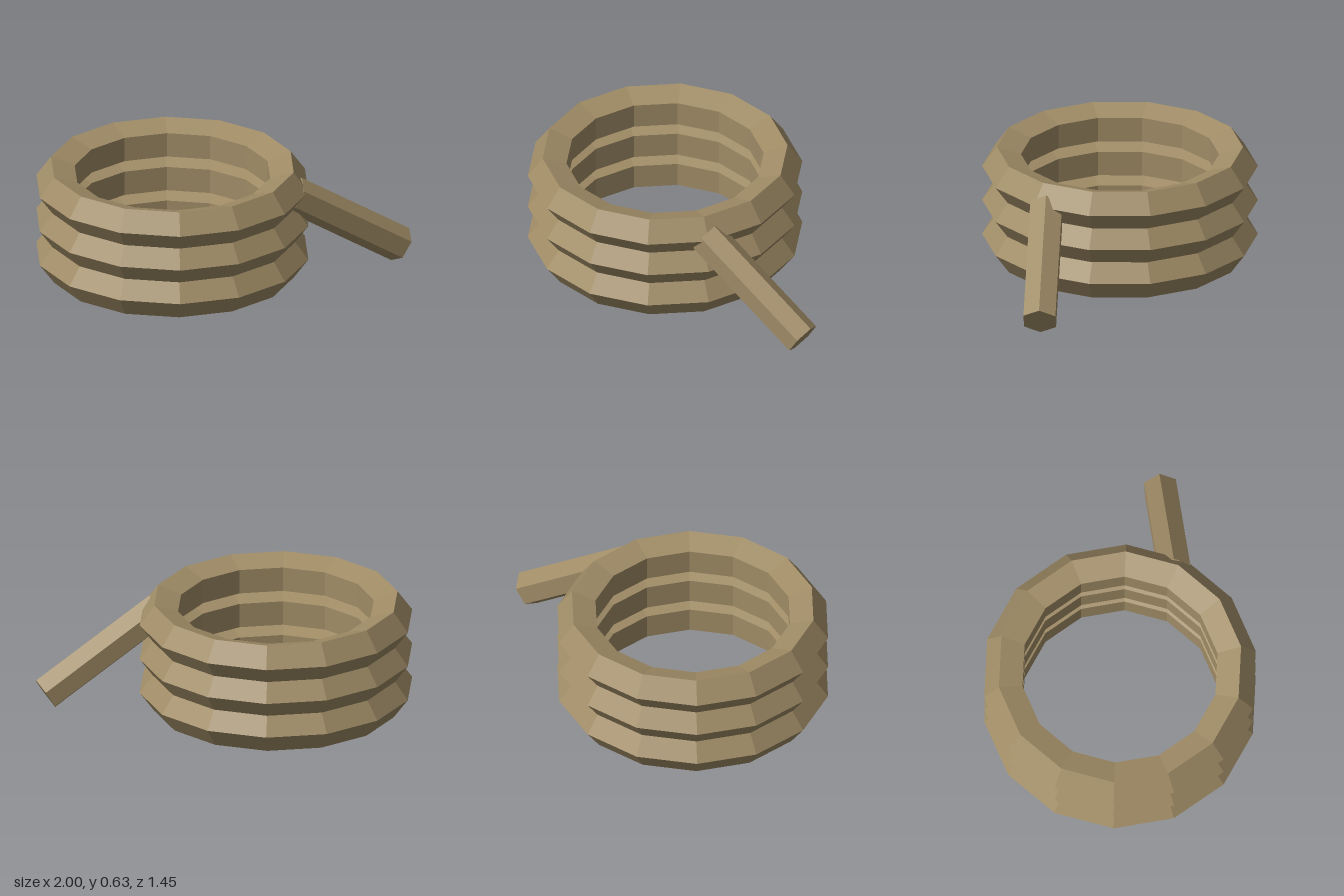
import * as THREE from 'three';

export function createModel() {
  const model = new THREE.Group();
  model.name = 'ropeCoil';
  const rope = new THREE.MeshStandardMaterial({ color: 0xa08c66, flatShading: true });
  rope.name = 'rope tan';

  // Stacked loops of rope: five-sided section, fourteen segments round
  const loop = new THREE.TorusGeometry(0.629, 0.116, 5, 14).rotateX(-Math.PI / 2);
  [0.125, 0.322, 0.52].forEach((y, i) => {
    const mesh = new THREE.Mesh(loop, rope);
    mesh.name = `loop${i + 1}`;
    mesh.position.set(-0.255, y, 0);
    model.add(mesh);
  });

  // Loose end: six-sided rod running from the top loop down to the ground
  const start = new THREE.Vector3(0.402, 0.497, -0.018);
  const end = new THREE.Vector3(0.927, 0.085, -0.39);
  const axis = end.clone().sub(start);
  const length = axis.length();
  axis.normalize();
  // One corner of the hexagon sets the roll about the axis
  const corner = new THREE.Vector3(-0.0435, -0.0825, 0.03);
  corner.addScaledVector(axis, -corner.dot(axis)).normalize();
  const side = new THREE.Vector3().crossVectors(axis, corner);

  const tail = new THREE.Mesh(new THREE.CylinderGeometry(0.1, 0.1, length, 6), rope);
  tail.name = 'looseEnd';
  tail.quaternion.setFromRotationMatrix(new THREE.Matrix4().makeBasis(side, axis, corner));
  tail.position.copy(start).lerp(end, 0.5);
  model.add(tail);

  return model;
}
